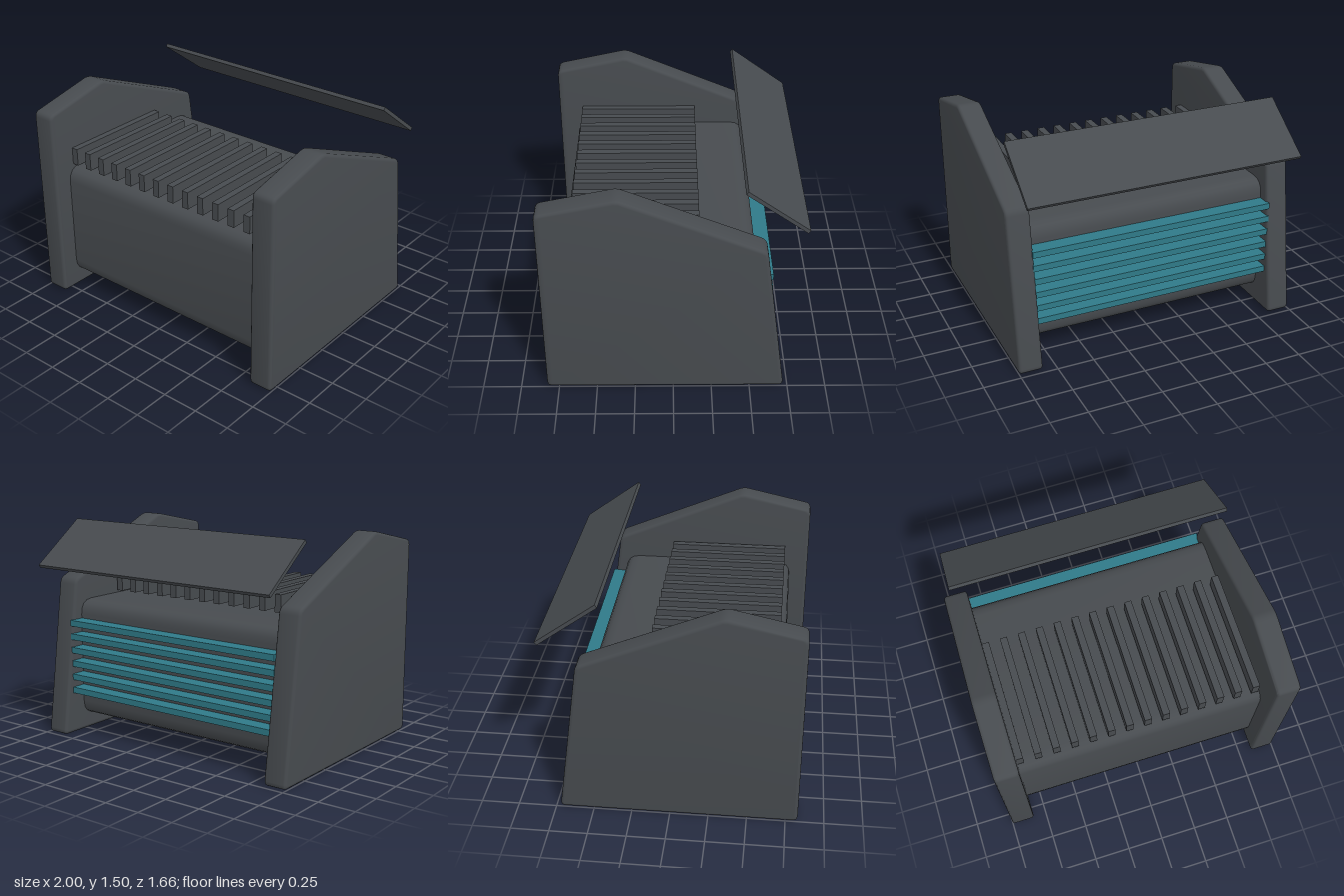
import * as THREE from 'three';
import { toCreasedNormals } from 'three/addons/utils/BufferGeometryUtils.js';

// Closed polygon with every corner rounded; points are [z, y]
function roundedShape(points, r) {
  const pts = points.map(([z, y]) => new THREE.Vector2(-z, y));
  const n = pts.length;
  const shape = new THREE.Shape();
  pts.forEach((p, i) => {
    const toward = (q) => p.clone().add(q.clone().sub(p).setLength(r));
    const a = toward(pts[(i + n - 1) % n]);
    const b = toward(pts[(i + 1) % n]);
    if (i === 0) shape.moveTo(a.x, a.y);
    else shape.lineTo(a.x, a.y);
    shape.quadraticCurveTo(p.x, p.y, b.x, b.y);
  });
  shape.closePath();
  return shape;
}

// Sweep a side profile along x, centred on x = 0
function sweep(points, r, width, bevel) {
  const geo = new THREE.ExtrudeGeometry(roundedShape(points, r), {
    depth: width - 2 * bevel,
    curveSegments: 4,
    bevelEnabled: bevel > 0,
    bevelThickness: bevel,
    bevelSize: bevel,
    bevelOffset: -bevel,
    bevelSegments: 3,
  });
  geo.translate(0, 0, -(width - 2 * bevel) / 2);
  geo.rotateY(Math.PI / 2);
  return toCreasedNormals(geo, 0.65);
}

export function createModel() {
  const model = new THREE.Group();
  model.name = 'louvredUnit';

  const charcoal = new THREE.MeshStandardMaterial({ color: 0x474b4f });
  charcoal.name = 'charcoal';
  const teal = new THREE.MeshStandardMaterial({ color: 0x2f7a88 });
  teal.name = 'teal';

  const add = (name, geo, mat, x = 0, y = 0, z = 0) => {
    const mesh = new THREE.Mesh(geo, mat);
    mesh.name = name;
    mesh.position.set(x, y, z);
    model.add(mesh);
    return mesh;
  };

  // End panels with a sloped top and back
  const panel = sweep(
    [[0.83, 0], [0.83, 1.365], [0.335, 1.472], [-0.575, 1.09], [-0.725, 0]],
    0.035, 0.16, 0.02);
  add('leftPanel', panel, charcoal, 0.92);
  add('rightPanel', panel, charcoal, -0.92);

  // Rounded main body between the panels
  add('body', sweep(
    [[0.7, 0.11], [0.7, 0.94], [-0.53, 0.94], [-0.53, 0.11]],
    0.1, 1.69, 0), charcoal);

  // Row of slats above the body
  const slat = new THREE.BoxGeometry(0.048, 0.12, 0.83);
  for (let i = 0; i < 14; i++) {
    add('topSlat' + (i + 1), slat, charcoal, -0.817 + i * 0.1244, 1.02, 0.245);
  }

  // Louvres across the back
  const louvre = new THREE.BoxGeometry(1.7, 0.042, 0.11);
  for (let i = 0; i < 6; i++) {
    add('backLouvre' + (i + 1), louvre, teal, 0, 0.79 - i * 0.096, -0.578);
  }

  // Tilted canopy over the back
  const canopy = add('canopy', new THREE.BoxGeometry(1.88, 0.025, 0.476),
    charcoal, 0, 1.346, -0.628);
  canopy.rotation.x = -0.63;

  return model;
}
